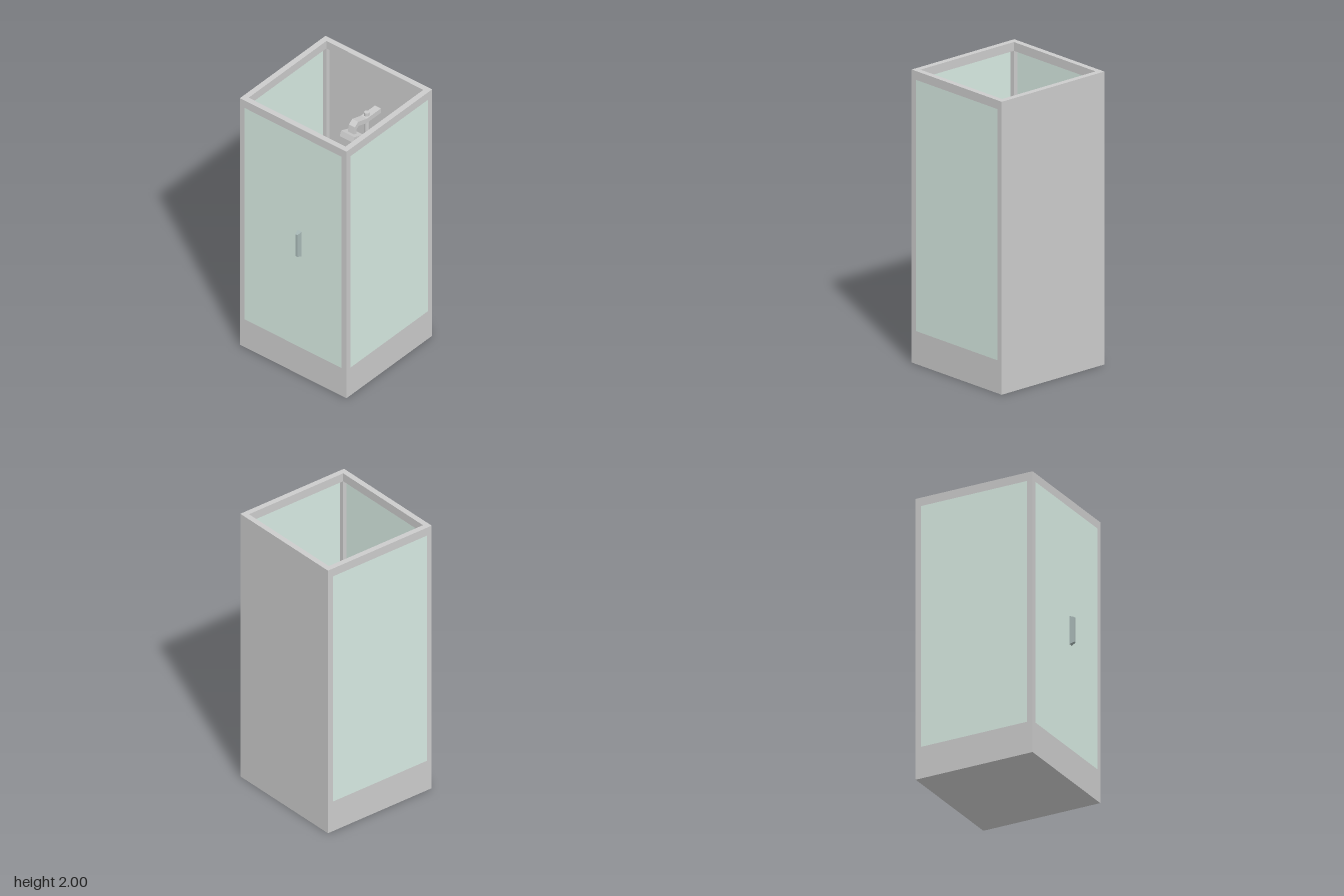
import * as THREE from 'three';

const grey = new THREE.MeshStandardMaterial({ color: 0xcccccc });
const greyThin = new THREE.MeshStandardMaterial({ color: 0xcccccc, side: THREE.DoubleSide, flatShading: true });
const glass = new THREE.MeshStandardMaterial({ color: 0xd7eae2 });
const tinted = new THREE.MeshStandardMaterial({ color: 0xa6b6b4 });

// Outer footprint, frame thickness and main heights
const X = 0.447, ZB = -0.45, ZF = 0.415, T = 0.04;
const TRAY = 0.17, FLOOR = 0.06, RAIL = 0.225, HEAD = 1.94, TOP = 2;

function add(parent, name, geometry, material = grey) {
  const mesh = new THREE.Mesh(geometry, material);
  mesh.name = name;
  parent.add(mesh);
  return mesh;
}

// Box given by its minimum and maximum corners
function span(x0, x1, y0, y1, z0, z1) {
  return new THREE.BoxGeometry(x1 - x0, y1 - y0, z1 - z0)
    .translate((x0 + x1) / 2, (y0 + y1) / 2, (z0 + z1) / 2);
}

// Profile of [z, y] points extruded symmetrically along x
function sideExtrude(points, width) {
  const shape = new THREE.Shape(points.map(p => new THREE.Vector2(...p)));
  return new THREE.ExtrudeGeometry(shape, { depth: width, bevelEnabled: false })
    .translate(0, 0, -width / 2).rotateY(-Math.PI / 2);
}

// Shower tray: slab, rim with a cut-corner opening, sloping basin walls
function buildTray() {
  const tray = new THREE.Group();
  tray.name = 'tray';
  const upper = [[-0.365, -0.368], [0.165, -0.368], [0.362, -0.18], [0.362, 0.334], [-0.365, 0.334]];
  const lower = [[-0.338, -0.342], [0.154, -0.342], [0.337, -0.168], [0.337, 0.309], [-0.338, 0.309]];
  add(tray, 'trayFloor', span(-X, X, 0, FLOOR, ZB, ZF));

  const toShape = pts => pts.map(([x, z]) => new THREE.Vector2(x, -z));
  const rim = new THREE.Shape(toShape([[-X, ZF], [X, ZF], [X, ZB], [-X, ZB]]));
  rim.holes.push(new THREE.Path(toShape(upper)));
  add(tray, 'trayRim', new THREE.ExtrudeGeometry(rim, { depth: TRAY - FLOOR, bevelEnabled: false })
    .rotateX(-Math.PI / 2).translate(0, FLOOR, 0));

  const pos = [], index = [], n = upper.length;
  for (let i = 0; i < n; i++) {
    pos.push(upper[i][0], TRAY, upper[i][1], lower[i][0], FLOOR, lower[i][1]);
    const a = 2 * i, b = 2 * ((i + 1) % n);
    index.push(a, a + 1, b, b, a + 1, b + 1);
  }
  const walls = new THREE.BufferGeometry();
  walls.setAttribute('position', new THREE.Float32BufferAttribute(pos, 3));
  walls.setIndex(index);
  walls.computeVertexNormals();
  add(tray, 'basinWalls', walls, greyThin);

  // Six-sided drain cover
  add(tray, 'drain', new THREE.CylinderGeometry(0.046, 0.046, 0.008, 6)
    .translate(-0.142, FLOOR + 0.004, 0.12), tinted);
  return tray;
}

// Corner posts, rails and thin flush panels
function buildCabin() {
  const cabin = new THREE.Group();
  cabin.name = 'cabin';
  const xi = X - T, zb = ZB + T, zf = ZF - T, P = 0.01;
  for (const s of [-1, 1]) {
    const [x0, x1] = s < 0 ? [-X, -xi] : [xi, X];
    add(cabin, 'backPost', span(x0, x1, TRAY, TOP, ZB, zb));
    add(cabin, 'frontPost', span(x0, x1, TRAY, TOP, zf, ZF));
    for (const [y0, y1] of [[TRAY, RAIL], [HEAD, TOP]])
      add(cabin, 'sideRail', span(x0, x1, y0, y1, zb, zf));
    const [g0, g1] = s < 0 ? [-X, -X + P] : [X - P, X];
    add(cabin, 'sideGlass', span(g0, g1, RAIL, HEAD, zb, zf), glass);
  }
  for (const [y0, y1] of [[TRAY, RAIL], [HEAD, TOP]]) {
    add(cabin, 'backRail', span(-xi, xi, y0, y1, ZB, zb));
    add(cabin, 'frontRail', span(-xi, xi, y0, y1, zf, ZF));
  }
  add(cabin, 'backPanel', span(-xi, xi, RAIL, HEAD, ZB, ZB + P));
  add(cabin, 'doorGlass', span(-xi, xi, RAIL, HEAD, ZF - P, ZF), glass);

  // Door handle: block tapering towards its outer face
  const handle = new THREE.BoxGeometry(0.032, 0.2, 0.032);
  const p = handle.attributes.position;
  for (let i = 0; i < p.count; i++)
    if (p.getZ(i) > 0) p.setXY(i, p.getX(i) * 0.58, p.getY(i) * 0.88);
  handle.computeVertexNormals();
  add(cabin, 'doorHandle', handle.translate(0.054, 1.067, ZF + 0.016), tinted);
  return cabin;
}

// Mixer tap, riser pipe, arm and shower head on the back wall
function buildShower() {
  const shower = new THREE.Group();
  shower.name = 'shower';
  const wall = ZB + 0.01, my = 1.05, mz = -0.366;
  const bar = (name, r, x0, x1) => add(shower, name,
    new THREE.CylinderGeometry(r, r, x1 - x0, 24).rotateZ(Math.PI / 2).translate((x0 + x1) / 2, my, mz));
  bar('mixerBody', 0.024, -0.105, 0.105);
  for (const s of [-1, 1]) {
    const side = (a, b) => s < 0 ? [-b, -a] : [a, b];
    bar('mixerNeck', 0.016, ...side(0.105, 0.114));
    bar('mixerKnob', 0.024, ...side(0.114, 0.134));
  }
  add(shower, 'mixerMount', span(-0.052, 0.052, my - 0.02, my + 0.02, wall, mz));
  add(shower, 'mixerOutlet', span(-0.025, 0.025, my - 0.02, my + 0.02, mz, -0.305));
  add(shower, 'riserPipe', new THREE.CylinderGeometry(0.017, 0.017, 1.67 - my, 20)
    .translate(0, (1.67 + my) / 2, -0.327));

  // Arm leaves the wall, rises, then bends down into the head
  add(shower, 'showerArm', sideExtrude([
    [wall, 1.61], [-0.295, 1.61], [-0.215, 1.635], [-0.195, 1.62], [-0.195, 1.58],
    [-0.165, 1.58], [-0.178, 1.645], [-0.212, 1.67], [-0.3, 1.645], [wall, 1.645],
  ].reverse(), 0.05));
  const head = add(shower, 'showerHead', new THREE.BoxGeometry(0.112, 0.04, 0.096));
  head.position.set(0, 1.57, -0.175);
  head.rotation.x = -0.35;
  return shower;
}

export function createModel() {
  const model = new THREE.Group();
  model.name = 'showerCabin';
  model.add(buildTray(), buildCabin(), buildShower());
  return model;
}
